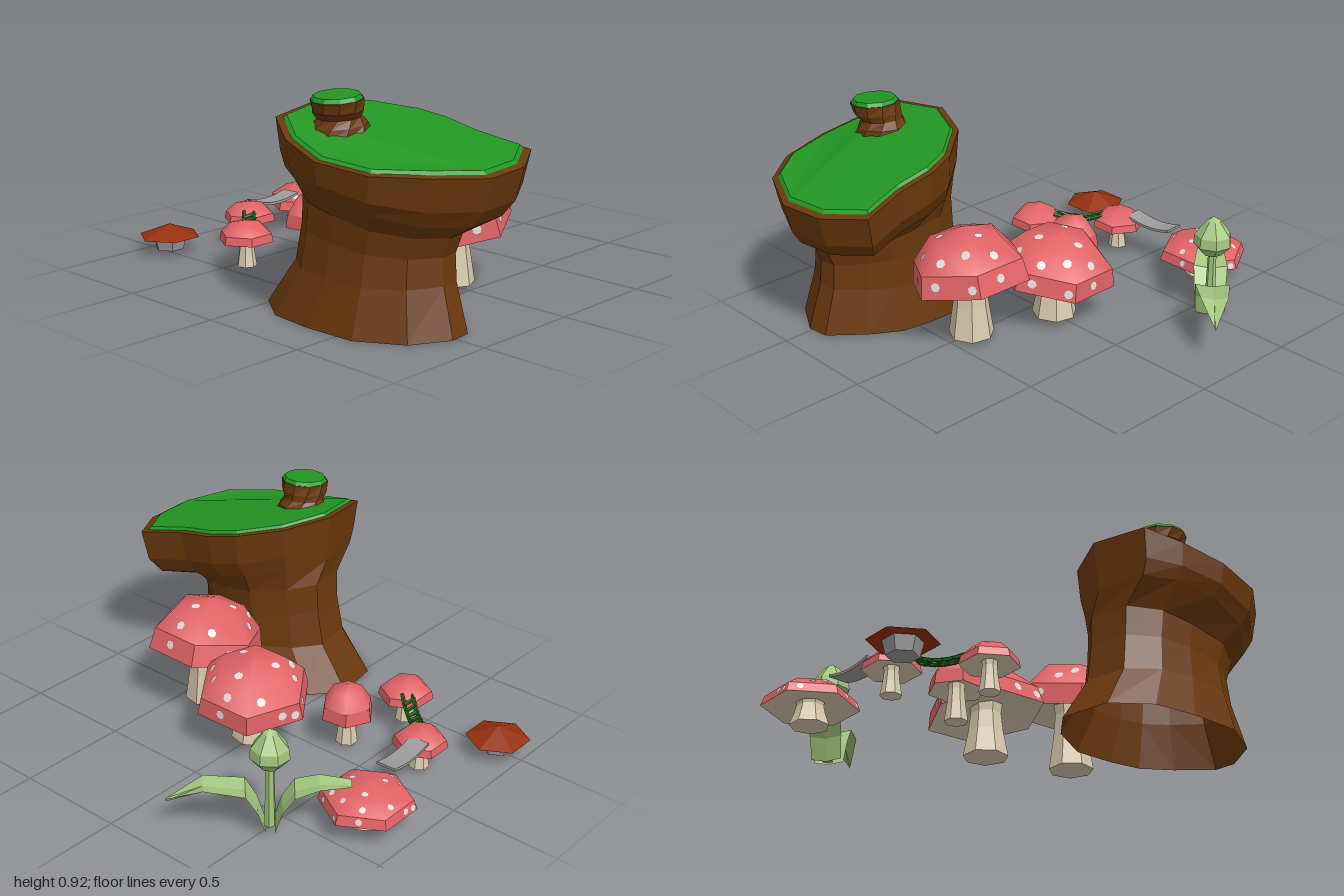
import * as THREE from 'three';
import { mergeGeometries } from 'three/addons/utils/BufferGeometryUtils.js';

const mat = (name, color, extra = {}) => {
  const m = new THREE.MeshStandardMaterial({ color, flatShading: true, ...extra });
  m.name = name;
  return m;
};

// Outline of the stump rim as [x, z, dip], running from the front towards +x
const RIM = [[-.46, .99, 0], [-.24, .97, 0], [-.06, .86, 0], [-.11, .65, 0], [-.11, .48, 0], [-.15, .35, 0],
  [-.29, .18, 0], [-.5, .09, 0], [-.76, .14, .01], [-.84, .28, .04], [-.88, .48, .05], [-.83, .71, .03], [-.68, .89, 0]];
// Outline of the stump foot as [x, z]
const FOOT = [[-.52, .86], [-.42, .85], [-.3, .71], [-.22, .58], [-.2, .43], [-.2, .24], [-.31, .05],
  [-.45, -.06], [-.67, -.02], [-.78, .14], [-.8, .34], [-.79, .58], [-.68, .77]];

export function createModel() {
  const M = {
    bark: mat('bark brown', 0x6a390d, { side: THREE.DoubleSide }),
    moss: mat('moss green', 0x229622),
    cap: mat('cap red', 0xe06266, { flatShading: false }),
    spot: mat('spot white', 0xe4dcdc),
    stem: mat('stem beige', 0xdacbb0, { side: THREE.DoubleSide }),
    grey: mat('stone grey', 0x9c9c9c),
    leaf: mat('leaf green', 0xa2c67e, { side: THREE.DoubleSide }),
    vine: mat('vine dark green', 0x23661a),
    rust: mat('rust red', 0x96300d),
  };
  const root = new THREE.Group();
  root.name = 'mushroomGarden';

  const add = (parent, name, geo, material, x = 0, y = 0, z = 0) => {
    const mesh = new THREE.Mesh(geo, material);
    mesh.name = name;
    mesh.position.set(x, y, z);
    parent.add(mesh);
    return mesh;
  };
  const lathe = (pts, sides) => new THREE.LatheGeometry(pts.map(p => new THREE.Vector2(...p)), sides);

  // Skin over equal rings of [x, y, z], optionally closing the last ring
  const loft = (rings, closeEnd) => {
    const n = rings[0].length, idx = [];
    for (let r = 0; r + 1 < rings.length; r++) {
      for (let i = 0; i < n; i++) {
        const a = r * n + i, b = r * n + (i + 1) % n;
        idx.push(a, b, b + n, a, b + n, a + n);
      }
    }
    const last = (rings.length - 1) * n;
    for (let i = 1; closeEnd && i + 1 < n; i++) idx.push(last, last + i, last + i + 1);
    const g = new THREE.BufferGeometry();
    g.setAttribute('position', new THREE.Float32BufferAttribute(rings.flat(2), 3));
    g.setIndex(idx);
    g.computeVertexNormals();
    return g;
  };

  // Tree stump with a slanted top and an open foot
  const ring = (y, cx, cz, sx, sz, tilt, dip) => RIM.map(([x, z, d]) => {
    const pz = cz + (z - .54) / .455 * sz;
    return [cx + (x + .47) / .41 * sx, y + tilt * (cz - pz) - d * dip, pz];
  });
  const lower = (y, cx, cz, kx, kz, tilt) => FOOT.map(([x, z]) => [
    cx + (x + .5) * kx, y - tilt * (z - .4) * kz, cz + (z - .4) * kz]);
  const stump = new THREE.Group();
  stump.name = 'stump';
  root.add(stump);
  add(stump, 'trunk', loft([
    lower(0, -.5, .4, 1, 1, 0),
    lower(.2, -.49, .44, .85, .78, 0),
    lower(.34, -.485, .45, .81, .74, .08),
    lower(.45, -.485, .47, .83, .77, .15),
    ring(.53, -.475, .51, .355, .405, .2, -.4),
    ring(.60, -.47, .53, .395, .43, .2, 0),
    ring(.74, -.47, .54, .41, .455, .2, 1),
    ring(.745, -.47, .54, .38, .425, .2, 1),
  ], true), M.bark);
  add(stump, 'mossTop', loft([
    ring(.742, -.47, .54, .387, .43, .2, 1),
    ring(.757, -.47, .54, .372, .415, .2, 1),
  ], true), M.moss);

  // Broken branch on the stump
  const circle = (x, y, z, r, turn) => Array.from({ length: 10 }, (_, i) => {
    const a = i / 10 * Math.PI * 2 + turn;
    return [x + r * Math.sin(a), y + .07 * r * Math.sin(a), z + r * Math.cos(a)];
  });
  add(stump, 'branch', loft([
    circle(-.61, .74, .34, .135, 0), circle(-.61, .79, .34, .115, .2), circle(-.615, .82, .345, .09, .4),
    circle(-.63, .85, .355, .105, .5), circle(-.64, .895, .36, .108, .6),
  ], true), M.bark);
  add(stump, 'branchMoss', loft([
    circle(-.64, .895, .36, .104, .6), circle(-.64, .912, .36, .094, .6),
  ], true), M.moss);

  // Small flat discs laid on the facets of a six-sided cap
  const capSpots = (profile, size) => {
    const at = (i, k) => {
      const a = k * Math.PI / 3, [r, y] = profile[i];
      return new THREE.Vector3(r * Math.sin(a), y, r * Math.cos(a));
    };
    const discs = [];
    for (let k = 0; k < 6; k++) {
      // [profile band, position round the facet, position up the facet]
      const places = [[0, .25 + .2 * (k % 3), .55], [1, .3 + .2 * (k % 2), .4]];
      places.push(k % 2 ? [2, .5, .25] : [0, .88, .4]);
      if (k % 3 === 0) places.push([1, .85, .65]);
      for (const [band, u, v] of places) {
        const a = at(band, k), b = at(band, k + 1), c = at(band + 1, k), d = at(band + 1, k + 1);
        const normal = b.clone().sub(a).cross(c.clone().sub(a)).normalize();
        const p = a.lerp(b, u).lerp(c.lerp(d, u), v).addScaledVector(normal, .003);
        const turn = new THREE.Quaternion().setFromUnitVectors(new THREE.Vector3(0, 0, 1), normal);
        discs.push(new THREE.CircleGeometry(size, 7).applyQuaternion(turn).translate(p.x, p.y, p.z));
      }
    }
    return mergeGeometries(discs);
  };

  // Six-sided mushrooms: faceted rim band, smooth dome
  const mushroom = ({ name, x, z, rim, H, R, foot: base, turn = 0, pitch = 0, tilt = 0, spots = 0 }) => {
    const g = new THREE.Group();
    g.name = name;
    g.position.set(x, 0, z);
    root.add(g);
    const top = rim + H * .3;
    add(g, 'stem', lathe([[0, .015], [base, .015], [base * .78, .015 + (top - .015) * .45],
      [base * .68, top * .8], [base * .75, top]], 7), M.stem);
    const head = new THREE.Group();
    head.name = 'head';
    head.position.y = rim;
    head.rotation.set(pitch, turn, tilt, 'ZYX');
    g.add(head);
    const profile = [[R, 0], [R * .93, H * .4], [R * .58, H * .85], [0, H]];
    const band = lathe(profile.slice(0, 2), 6).toNonIndexed();
    band.computeVertexNormals();
    const dome = lathe(profile.slice(1), 6).toNonIndexed();
    add(head, 'cap', mergeGeometries([band, dome]), M.cap);
    add(head, 'gills', lathe([[0, H * .22], [R * .35, H * .2], [R, 0]], 6), M.stem);
    if (spots) add(head, 'spots', capSpots(profile, spots), M.spot);
  };
  const SIXTH = Math.PI / 6;
  [
    { name: 'tallMushroom', x: .013, z: .39, rim: .265, H: .245, R: .268, foot: .1, turn: -.02, tilt: .19, spots: .02 },
    { name: 'wideMushroom', x: .125, z: 0, rim: .205, H: .205, R: .265, foot: .1, turn: .09, pitch: -.08, tilt: -.12, spots: .02 },
    { name: 'youngMushroom', x: -.11, z: -.34, rim: .15, H: .15, R: .122, foot: .05, turn: .1 },
    { name: 'leftSmallMushroom', x: -.43, z: -.42, rim: .13, H: .09, R: .125, foot: .045, turn: SIXTH },
    { name: 'middleSmallMushroom', x: -.16, z: -.7, rim: .12, H: .085, R: .122, foot: .045, turn: SIXTH },
    { name: 'flatMushroom', x: .305, z: -.78, rim: .095, H: .105, R: .205, foot: .085, turn: SIXTH, spots: .014 },
  ].forEach(mushroom);

  // Low rust coloured mushroom
  const low = new THREE.Group();
  low.name = 'lowMushroom';
  low.position.set(-.49, 0, -.88);
  low.rotation.y = SIXTH;
  root.add(low);
  add(low, 'cap', lathe([[0, .075], [.142, .075], [0, .13]], 6), M.rust);
  add(low, 'stem', lathe([[0, .015], [.065, .015], [.08, .076]], 6), M.grey);

  // Sagging plank between two caps
  const plank = new THREE.BoxGeometry(.25, .012, .09, 8, 1, 1);
  const pp = plank.attributes.position;
  for (let i = 0; i < pp.count; i++) pp.setY(i, pp.getY(i) + 1.2 * pp.getX(i) ** 2);
  add(root, 'plankBridge', plank, M.grey, .025, .165, -.745).rotation.y = .05;

  // Rope bridge of vines
  const start = new THREE.Vector3(-.37, .185, -.47), end = new THREE.Vector3(-.21, .175, -.65);
  const side = new THREE.Vector3(.75, 0, .66).multiplyScalar(.023);
  const rope = (s, t) => start.clone().lerp(end, t).addScaledVector(side, s)
    .add(new THREE.Vector3(0, -.1 * t * (1 - t), 0));
  const tube = (pts, n) => new THREE.TubeGeometry(new THREE.CatmullRomCurve3(pts), n, .009, 5);
  const vines = [-1, 1].map(s => tube([0, .33, .67, 1].map(t => rope(s, t)), 8));
  for (let i = 1; i < 6; i++) vines.push(tube([rope(-1.3, i / 6 - .08), rope(1.3, i / 6 + .1)], 1));
  add(root, 'vineBridge', mergeGeometries(vines), M.vine);

  // Bud plant with two arching leaves
  const plant = new THREE.Group();
  plant.name = 'budPlant';
  plant.position.set(.59, 0, -.505);
  root.add(plant);
  add(plant, 'stalk', lathe([[0, .015], [.025, .015], [.018, .31]], 6), M.leaf);
  add(plant, 'bud', lathe([[0, .295], [.045, .3], [.085, .345], [.08, .39], [.03, .455], [0, .475]], 7), M.leaf);

  // Leaf strip from [distance, height, half width], folded along its midrib
  const leaf = (name, dx, dz, rows) => {
    const len = Math.hypot(dx, dz), ux = dx / len, uz = dz / len, pos = [], idx = [];
    rows.forEach(([r, y, w], i) => {
      for (const s of [-1, 0, 1]) {
        pos.push(ux * r - uz * w * s, y + (s ? .012 : 0), uz * r + ux * w * s);
      }
      if (i) {
        for (const k of [0, 1]) {
          const a = i * 3 - 3 + k;
          idx.push(a, a + 1, a + 4, a, a + 4, a + 3);
        }
      }
    });
    const g = new THREE.BufferGeometry();
    g.setAttribute('position', new THREE.Float32BufferAttribute(pos, 3));
    g.setIndex(idx);
    g.computeVertexNormals();
    add(plant, name, g, M.leaf);
  };
  leaf('frontLeaf', .29, .305, [[.02, .005, .065], [.05, .1, .07], [.1, .185, .075], [.27, .21, .06], [.42, .14, .003]]);
  leaf('backLeaf', -.22, -.245, [[.02, .005, .065], [.05, .1, .07], [.1, .175, .075], [.2, .205, .06], [.33, .2, .03]]);

  return root;
}
